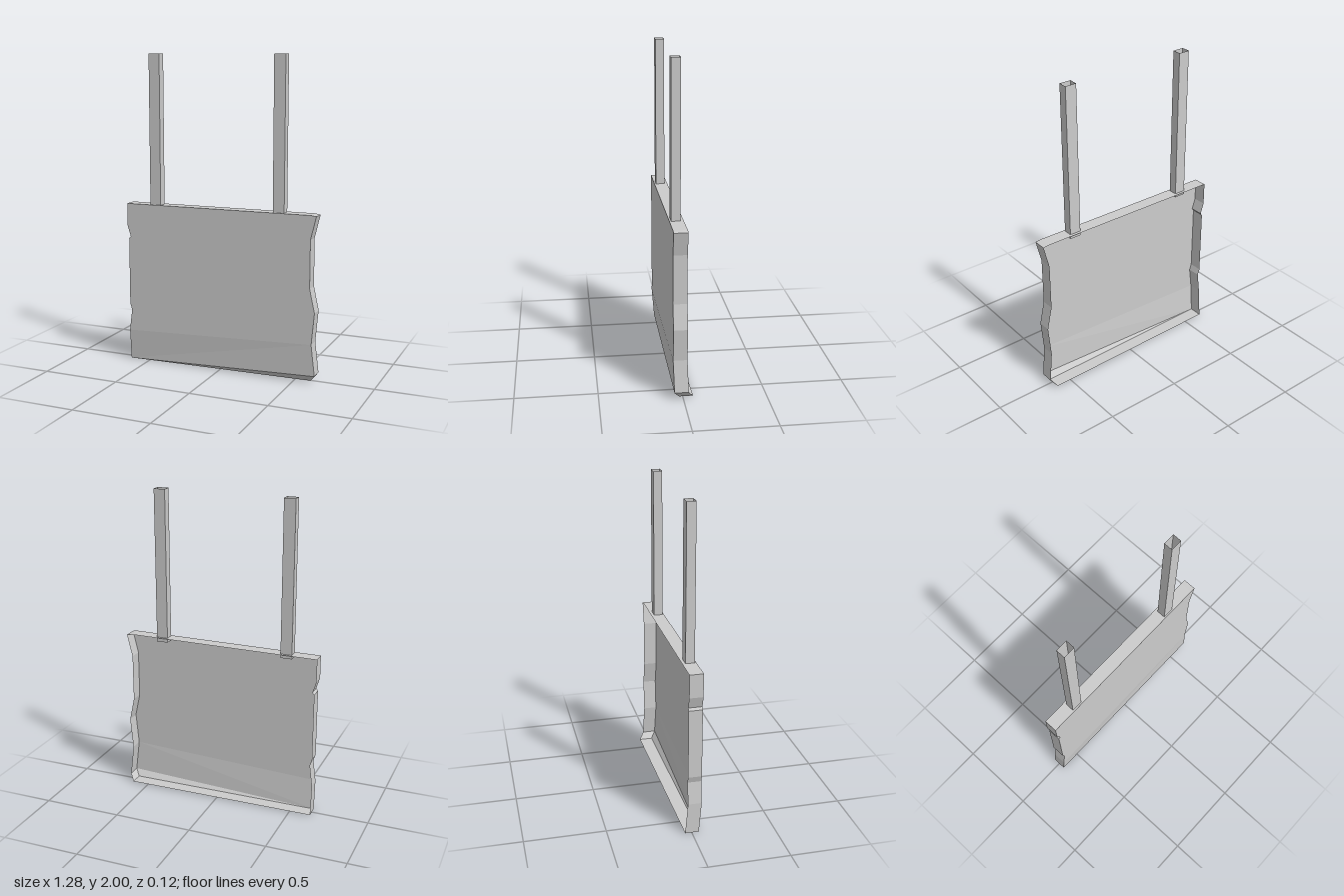
import * as THREE from 'three';

const material = new THREE.MeshStandardMaterial({ color: 0xcccccc, flatShading: true, side: THREE.DoubleSide });
const FRONT = 0.06, DEPTH = 0.085;

// Worn outline, counter-clockwise from the lower left corner: x, y, z offset
const outline = [
  [-0.635, 0.003, -0.016], [0.605, 0.01, -0.036], [0.637, 0.05, -0.006],
  [0.615, 0.25, 0], [0.633, 0.45, 0], [0.6, 0.6, 0], [0.6, 0.9, 0], [0.635, 1.045, 0], [0.6, 1.05, 0],
  [-0.64, 1.045, 0], [-0.64, 0.9, 0], [-0.618, 0.83, 0], [-0.63, 0.815, 0],
  [-0.63, 0.38, 0], [-0.617, 0.34, 0], [-0.635, 0.2, 0],
];

function meshFrom(name, positions, index) {
  const g = new THREE.BufferGeometry();
  g.setAttribute('position', new THREE.Float32BufferAttribute(positions, 3));
  g.setIndex(index);
  const flat = g.toNonIndexed();
  flat.computeVertexNormals();
  const mesh = new THREE.Mesh(flat, material);
  mesh.name = name;
  return mesh;
}

export function createModel() {
  const model = new THREE.Group();
  model.name = 'hangingSign';
  const n = outline.length;
  const front = outline.flatMap(([x, y, z]) => [x, y, FRONT + z]);
  const back = outline.flatMap(([x, y, z]) => [x, y, FRONT + z - DEPTH]);

  // Front panel: bent lower strip, then the flat area above it
  const faces = [0, 1, 2, 0, 2, 3, 0, 3, n - 1];
  const upper = outline.slice(3).map(([x, y]) => new THREE.Vector2(x, y));
  for (const tri of THREE.ShapeUtils.triangulateShape(upper, [])) {
    faces.push(...tri.map((i) => i + 3));
  }
  model.add(meshFrom('frontPanel', front, faces));

  // Rim folded backwards around the outline, open at the back
  const rim = [];
  for (let i = 0; i < n; i++) {
    const j = (i + 1) % n;
    rim.push(i, i + n, j, j, i + n, j + n);
  }
  model.add(meshFrom('rim', [...front, ...back], rim));

  // Hollow square posts passing through the top of the rim
  const bottom = 1.02, top = 2;
  for (const [name, x] of [['rightPost', -0.44], ['leftPost', 0.392]]) {
    const tube = new THREE.CylinderGeometry(Math.SQRT1_2, Math.SQRT1_2, 1, 4, 1, true);
    tube.rotateY(Math.PI / 4);
    tube.scale(0.073, top - bottom, 0.056);
    const post = new THREE.Mesh(tube, material);
    post.name = name;
    post.position.set(x, (top + bottom) / 2, 0.022);
    model.add(post);
  }
  return model;
}
